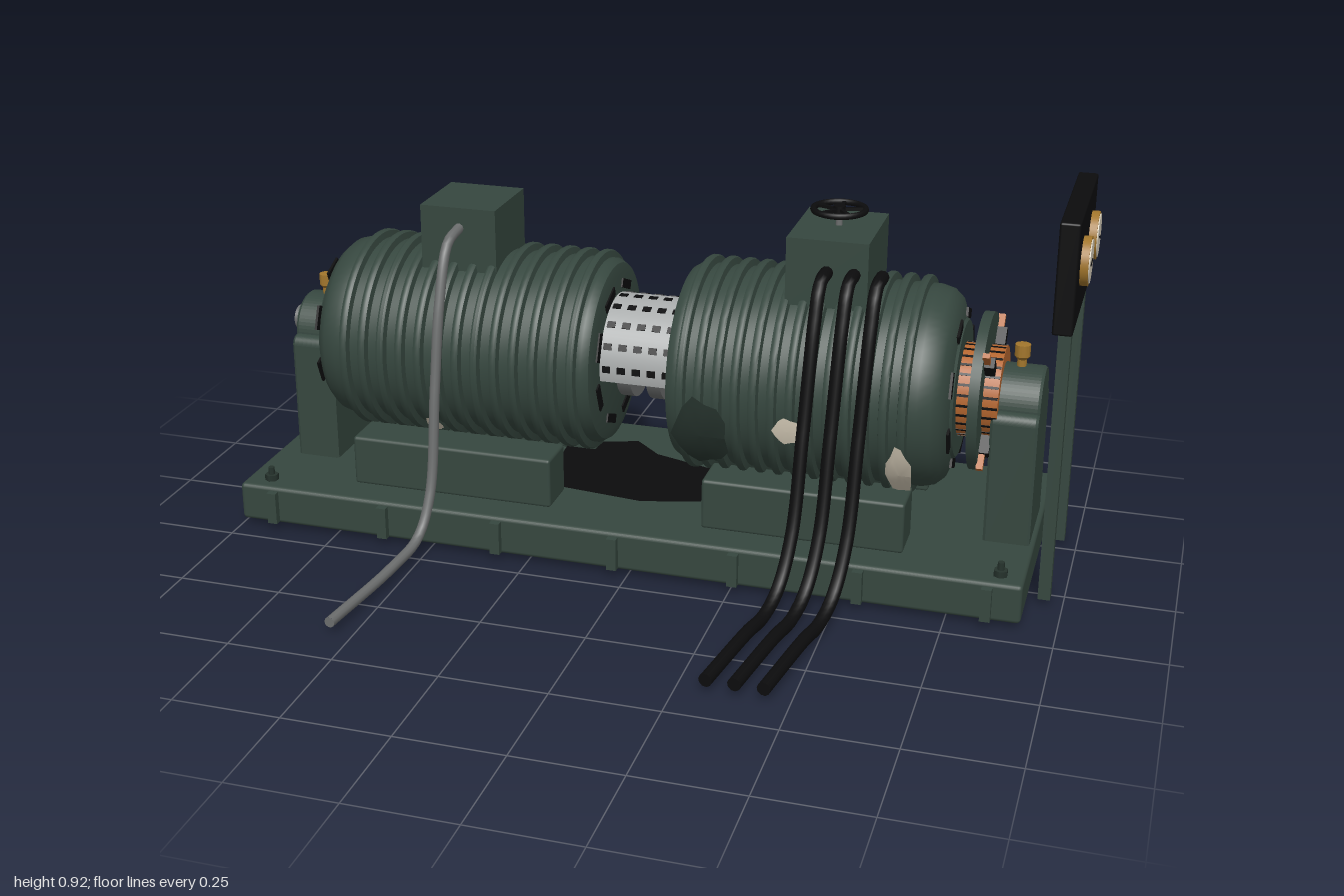
import * as THREE from 'three';
import { toCreasedNormals } from 'three/addons/utils/BufferGeometryUtils.js';
import { RoundedBoxGeometry } from 'three/addons/geometries/RoundedBoxGeometry.js';

const AXIS_Y = 0.44, AXIS_Z = -0.13;

const paint = (name, color, side = THREE.FrontSide) => {
  const m = new THREE.MeshStandardMaterial({ color, side });
  m.name = name;
  return m;
};

export function createModel() {
  const root = new THREE.Group();
  root.name = 'motorGeneratorSet';

  const green = paint('machine green', 0x36473f);
  const darkGreen = paint('dark green', 0x26332d);
  const black = paint('black', 0x0c0c0d, THREE.DoubleSide);
  const steel = paint('light steel', 0xa9acac, THREE.DoubleSide);
  const grey = paint('conduit grey', 0x6c6e6e);
  const copper = paint('copper', 0xb4662f);
  const brass = paint('brass', 0xa2762c);
  const cream = paint('cream', 0xd6ccb8, THREE.DoubleSide);

  const add = (name, geo, mat, x = 0, y = 0, z = 0, parent = root) => {
    const m = new THREE.Mesh(geo, mat);
    m.name = name;
    m.position.set(x, y, z);
    parent.add(m);
    return m;
  };
  const box = (w, h, d) => new THREE.BoxGeometry(w, h, d);
  const rbox = (w, h, d, r = 0.008) => new RoundedBoxGeometry(w, h, d, 2, r);
  // Cylinder lying along x
  const rod = (r, len, seg = 32) => new THREE.CylinderGeometry(r, r, len, seg).rotateZ(-Math.PI / 2);
  // Part placed at an angle round the shaft: 0 is up, positive turns to the front
  const radial = (name, geo, mat, x, r, angle) => {
    const pivot = new THREE.Group();
    pivot.name = name + 'Pivot';
    pivot.position.set(x, AXIS_Y, AXIS_Z);
    pivot.rotation.x = angle;
    root.add(pivot);
    return add(name, geo, mat, 0, r, 0, pivot);
  };

  // Bedplate with edge ribs and anchor bolts
  add('bedplate', rbox(1.92, 0.095, 0.64, 0.01), green, -0.04, 0.0625, AXIS_Z);
  for (let i = 0; i < 7; i++) {
    for (const s of [-1, 1]) {
      add('edgeRib', box(0.024, 0.08, 0.03), green, -0.91 + i * 0.292, 0.06, AXIS_Z + s * 0.322);
    }
  }
  for (const x of [-0.935, 0.865]) {
    for (const z of [0.145, -0.397]) {
      add('anchorNut', new THREE.CylinderGeometry(0.017, 0.017, 0.016, 6), darkGreen, x, 0.117, z);
      add('anchorStud', new THREE.CylinderGeometry(0.008, 0.008, 0.035, 8), darkGreen, x, 0.126, z);
    }
  }

  // Finned casing, with the rounded end bell at the "outer" end
  const casing = (name, inner, outer, finR, fins) => {
    const len = Math.abs(outer - inner), base = finR - 0.019;
    const pts = [[0.03, 0], [base - 0.035, 0], [base - 0.01, 0.006], [base, 0.022]];
    const first = 0.045, pitch = (len - 0.14) / (fins - 1);
    for (let i = 0; i < fins; i++) {
      const c = first + i * pitch;
      pts.push([base, c - 0.012], [finR - 0.003, c - 0.009], [finR, c - 0.004],
        [finR, c + 0.004], [finR - 0.003, c + 0.009], [base, c + 0.012]);
    }
    pts.push([base, len - 0.065], [base - 0.008, len - 0.035], [base - 0.025, len - 0.016],
      [base - 0.055, len - 0.004], [0.165, len], [0.16, len + 0.006], [0.12, len + 0.006], [0.03, len + 0.006]);
    const profile = pts.map(([r, a]) => new THREE.Vector2(r, a));
    let geo = new THREE.LatheGeometry(profile, 64);
    geo = toCreasedNormals(geo, 0.6).rotateZ(-Math.PI / 2);
    const m = add(name, geo, green, inner, AXIS_Y, AXIS_Z);
    if (outer < inner) m.rotation.y = Math.PI;
    // Ventilation slots on both end faces
    const dir = Math.sign(outer - inner);
    for (let i = 0; i < 8; i++) {
      const a = (i + 0.5) * Math.PI / 4;
      radial('ventSlot', box(0.006, 0.022, 0.07), black, inner - dir * 0.001, 0.165, a);
      radial('ventSlot', box(0.006, 0.022, 0.06), black, outer + dir * 0.0005, 0.176, a);
    }
  };
  casing('motorCasing', -0.12, -0.835, 0.245, 13);
  casing('generatorCasing', 0.06, 0.715, 0.257, 13);

  // Mounting feet
  for (const [x, w] of [[-0.475, 0.51], [0.395, 0.48]]) {
    for (const s of [-1, 1]) add('mountingFoot', rbox(w, 0.125, 0.11), green, x, 0.17, AXIS_Z + s * 0.177);
  }

  // Terminal boxes on top
  add('motorTerminalBox', box(0.19, 0.16, 0.2), green, -0.487, 0.72, AXIS_Z);
  add('generatorTerminalBox', box(0.19, 0.16, 0.245), green, 0.415, 0.73, AXIS_Z + 0.005);

  // Handwheel
  const wheel = new THREE.Group();
  wheel.name = 'handwheel';
  wheel.position.set(0.415, 0.847, AXIS_Z);
  root.add(wheel);
  add('wheelRim', new THREE.TorusGeometry(0.06, 0.0075, 8, 32).rotateX(Math.PI / 2), black, 0, 0, 0, wheel);
  add('wheelHub', new THREE.CylinderGeometry(0.014, 0.014, 0.018, 16), black, 0, 0, 0, wheel);
  add('wheelStem', new THREE.CylinderGeometry(0.008, 0.008, 0.045, 12), grey, 0, -0.02, 0, wheel);
  for (let i = 0; i < 5; i++) {
    const spoke = add('wheelSpoke', box(0.06, 0.007, 0.009).translate(0.03, 0, 0), black, 0, 0, 0, wheel);
    spoke.rotation.y = i * Math.PI * 0.4 + 0.3;
  }

  // Shaft, coupling flanges and perforated guard
  add('shaft', rod(0.03, 1.87), grey, -0.035, AXIS_Y, AXIS_Z);
  for (const x of [-0.077, -0.003]) add('couplingFlange', rod(0.105, 0.034), grey, x, AXIS_Y, AXIS_Z);
  const guard = new THREE.CylinderGeometry(0.145, 0.145, 0.19, 40, 1, true, Math.PI - 0.17, Math.PI + 0.34);
  add('couplingGuard', guard.rotateZ(-Math.PI / 2), steel, -0.03, AXIS_Y, AXIS_Z);
  for (let i = -4; i <= 4; i++) {
    for (let j = -2; j <= 2; j++) {
      radial('guardHole', box(0.02, 0.004, 0.016), black, -0.03 + j * 0.037, 0.145, i * 0.38);
    }
  }

  // Bearing pedestals with oil cups
  const outline = new THREE.Shape();
  outline.moveTo(-0.107, 0.11);
  outline.lineTo(0.107, 0.11);
  outline.lineTo(0.107, 0.405);
  outline.quadraticCurveTo(0.105, 0.425, 0.085, 0.425);
  outline.absarc(0, 0.425, 0.083, 0, Math.PI, false);
  outline.quadraticCurveTo(-0.105, 0.425, -0.107, 0.405);
  outline.closePath();
  for (const x of [-0.885, 0.855]) {
    const geo = new THREE.ExtrudeGeometry(outline, {
      depth: 0.096, bevelSize: 0.004, bevelThickness: 0.006, bevelSegments: 1, curveSegments: 16,
    });
    add('bearingPedestal', geo.translate(0, 0, -0.048).rotateY(Math.PI / 2), green, x, 0, AXIS_Z);
    const cup = [[0, 0], [0.011, 0], [0.011, 0.028], [0.018, 0.036], [0.018, 0.064], [0, 0.066]];
    const cupGeo = new THREE.LatheGeometry(cup.map(p => new THREE.Vector2(...p)), 20);
    add('oilCup', toCreasedNormals(cupGeo, 0.6), brass, x - 0.003, 0.5, AXIS_Z);
  }
  add('bearingCap', rod(0.045, 0.02), green, -0.945, AXIS_Y, AXIS_Z);

  // Commutator, brush ring and brush gear
  add('commutator', rod(0.11, 0.1, 40), copper, 0.765, AXIS_Y, AXIS_Z);
  for (let i = 0; i < 28; i++) {
    radial('commutatorSlot', box(0.098, 0.003, 0.006), black, 0.765, 0.1095, i * Math.PI / 14);
  }
  add('brushRing', rod(0.185, 0.024, 48), green, 0.768, AXIS_Y, AXIS_Z);
  for (let i = 0; i < 4; i++) {
    const a = Math.PI / 4 + i * Math.PI / 2;
    radial('brushArm', box(0.016, 0.075, 0.012), copper, 0.786, 0.16, a);
    radial('brushHolder', box(0.03, 0.045, 0.026), black, 0.788, 0.138, a);
  }
  add('commutatorFace', rod(0.11, 0.03, 40), copper, 0.795, AXIS_Y, AXIS_Z);

  // Gauge board on two posts
  for (const z of [0.037, -0.283]) add('gaugePost', box(0.028, 0.68, 0.032), green, 0.957, 0.355, z);
  add('gaugePanel', rbox(0.045, 0.255, 0.41, 0.005), black, 0.953, 0.797, -0.123);
  for (const [z, tilt] of [[-0.027, 0.1], [-0.22, -0.45]]) {
    add('gaugeRim', rod(0.055, 0.02, 36), brass, 0.983, 0.81, z);
    add('gaugeDial', rod(0.049, 0.004, 36), cream, 0.9935, 0.81, z);
    const needle = add('gaugeNeedle', box(0.002, 0.005, 0.036), black, 0.997, 0.812, z + 0.012);
    needle.rotation.x = tilt;
  }

  // Cables and conduit
  const tube = (name, pts, r, mat) => {
    const curve = new THREE.CatmullRomCurve3(pts.map(p => new THREE.Vector3(...p)));
    add(name, new THREE.TubeGeometry(curve, 60, r, 10), mat);
    for (const [p, s] of [[pts[0], -1], [pts[pts.length - 1], 1]]) {
      const cap = add(name + 'End', new THREE.CircleGeometry(r, 10), mat, ...p);
      cap.lookAt(new THREE.Vector3(...p).addScaledVector(curve.getTangent(s < 0 ? 0 : 1), s));
    }
  };
  for (const x of [0.415, 0.478, 0.542]) {
    tube('powerCable', [[x, 0.735, -0.01], [x, 0.73, 0.065], [x - 0.003, 0.65, 0.1], [x - 0.012, 0.4, 0.145],
      [x - 0.02, 0.17, 0.195], [x - 0.035, 0.06, 0.255], [x - 0.05, 0.025, 0.33], [x - 0.065, 0.03, 0.42],
      [x - 0.1, 0.03, 0.648]], 0.0155, black);
  }
  tube('conduit', [[-0.485, 0.75, -0.035], [-0.487, 0.73, 0.04], [-0.49, 0.6, 0.095], [-0.495, 0.4, 0.13],
    [-0.5, 0.14, 0.175], [-0.512, 0.05, 0.23], [-0.525, 0.03, 0.36], [-0.552, 0.03, 0.645]], 0.0125, grey);

  // Oil pools
  const pool = (name, pts, y) => {
    const s = new THREE.Shape(pts.map(([x, z]) => new THREE.Vector2(x, -z)));
    add(name, new THREE.ShapeGeometry(s).rotateX(-Math.PI / 2), black, 0, y, 0);
  };
  pool('floorOil', [[-0.71, -0.6], [-0.59, -0.65], [-0.32, -0.61], [-0.23, -0.58], [-0.175, -0.54],
    [-0.19, -0.49], [-0.28, -0.46], [-0.48, -0.455], [-0.55, -0.5]], 0.002);
  pool('bedplateOil', [[-0.3, -0.28], [-0.13, -0.335], [-0.06, -0.27], [0.1, -0.22], [0.12, -0.03],
    [-0.02, 0.01], [-0.28, -0.02]], 0.1125);

  // Chipped paint and stains, wrapped round the casings
  const patch = (name, mat, x, r, angle, w, arc) => {
    const geo = new THREE.RingGeometry(0.001, 1, 14, 4);
    const p = geo.attributes.position;
    for (let i = 0; i < p.count; i++) {
      const u = p.getX(i), v = p.getY(i), rough = 1 + 0.1 * Math.sin(5 * Math.atan2(v, u) + x * 30);
      const a = angle - v * rough * arc / r;
      p.setXYZ(i, x + u * rough * w, AXIS_Y + r * Math.cos(a), AXIS_Z + r * Math.sin(a));
    }
    geo.computeVertexNormals();
    add(name, geo, mat);
  };
  patch('paintChip', cream, 0.362, 0.259, 1.77, 0.034, 0.034);
  patch('paintChip', cream, 0.615, 0.259, 2.16, 0.03, 0.09);
  patch('paintChip', cream, 0.255, 0.259, -1.3, 0.036, 0.085);
  patch('paintChip', cream, -0.535, 0.247, 2.35, 0.02, 0.035);
  patch('paintChip', cream, -0.62, 0.247, -2.2, 0.035, 0.04);
  patch('oilStain', black, -0.5, 0.247, -1.35, 0.03, 0.07);
  const stain = paint('stain green', 0x26332d, THREE.DoubleSide);
  patch('greaseStain', stain, 0.155, 0.26, 1.93, 0.065, 0.1);

  return root;
}
